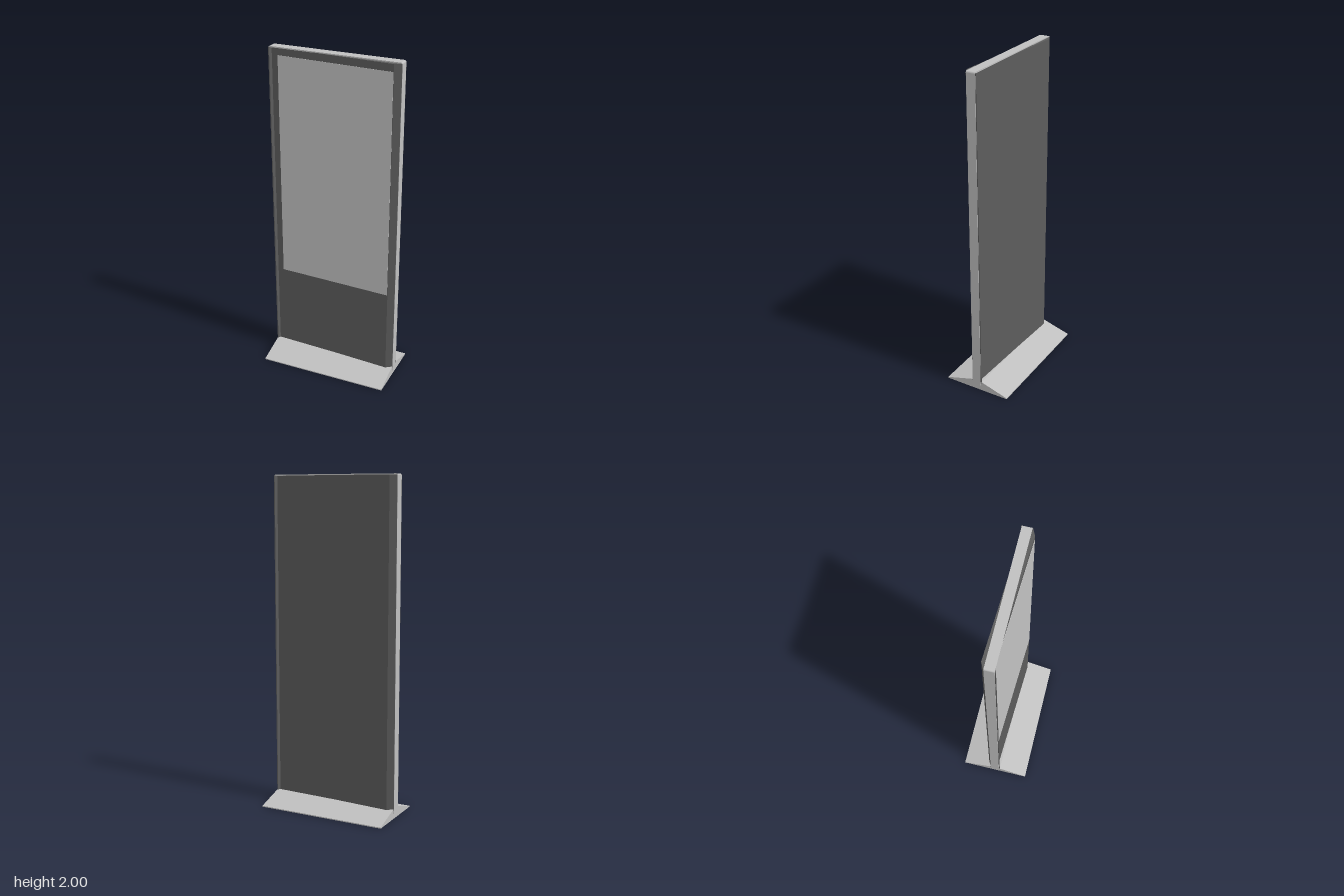
import * as THREE from 'three';

const silver = new THREE.MeshStandardMaterial({ color: 0xc0c0c0 });
silver.name = 'silver';
const charcoal = new THREE.MeshStandardMaterial({ color: 0x5c5c5c });
charcoal.name = 'charcoal';
const screenGrey = new THREE.MeshStandardMaterial({ color: 0xc2c2c2 });
screenGrey.name = 'screen grey';

const shapeOf = (pts) => new THREE.Shape(pts.map(([x, y]) => new THREE.Vector2(x, y)));
const extrude = (shape, depth) =>
  new THREE.ExtrudeGeometry(shape, { depth, bevelEnabled: false, curveSegments: 6 });

function add(parent, name, geometry, material) {
  const mesh = new THREE.Mesh(geometry, material);
  mesh.name = name;
  parent.add(mesh);
  return mesh;
}

export function createModel() {
  const root = new THREE.Group();
  root.name = 'displayStand';
  // the whole stand is turned slightly about its upright axis
  const stand = new THREE.Group();
  stand.name = 'stand';
  stand.rotation.y = 0.0665;
  root.add(stand);

  // wedge foot: ridge along x, thin vertical lip at the floor
  const foot = extrude(shapeOf([
    [-0.21, 0], [0.21, 0], [0.21, 0.006], [0.034, 0.058], [-0.034, 0.058], [-0.21, 0.006],
  ]), 0.796);
  foot.rotateY(Math.PI / 2).translate(-0.398, 0, 0);
  add(stand, 'foot', foot, silver);

  // thin silver band round the sides and top, with softened top corners
  const w = 0.4, r = 0.01, t = 0.007, y0 = 0.03, y1 = 2;
  const band = new THREE.Shape();
  band.moveTo(-w, y0);
  band.lineTo(w, y0);
  band.lineTo(w, y1 - r);
  band.absarc(w - r, y1 - r, r, 0, Math.PI / 2);
  band.lineTo(-w + r, y1);
  band.absarc(-w + r, y1 - r, r, Math.PI / 2, Math.PI);
  band.closePath();
  band.holes.push(shapeOf([
    [-w + t, y0 + t], [-w + t, y1 - t], [w - t, y1 - t], [w - t, y0 + t],
  ]));
  const bandDepth = 0.056;
  add(stand, 'frameBand', extrude(band, bandDepth).translate(0, 0, -bandDepth / 2), silver);

  // housing: plan outline [x, z]; each face slants, the back is the front turned half round
  const front = [
    [0.399, 0.029], [0.36, 0.0485], [-0.385, 0.017], [-0.393, 0.033], [-0.399, 0.033], [-0.399, 0.029],
    [-0.395, 0.026],
  ];
  const plan = [...front, ...front.map(([x, z]) => [-x, -z])].map(([x, z]) => [x, -z]);
  const housing = extrude(shapeOf(plan), 1.944);
  housing.rotateX(-Math.PI / 2).translate(0, 0.05, 0);
  add(stand, 'housing', housing, charcoal);

  // screen plate lying on the slanted front face
  const slope = Math.atan2(0.0315, 0.745);
  const screen = add(stand, 'screen', new THREE.BoxGeometry(0.706, 1.375, 0.003), screenGrey);
  screen.position.set(0.005, 1.2625, 0.0335);
  screen.rotation.y = -slope;

  return root;
}
